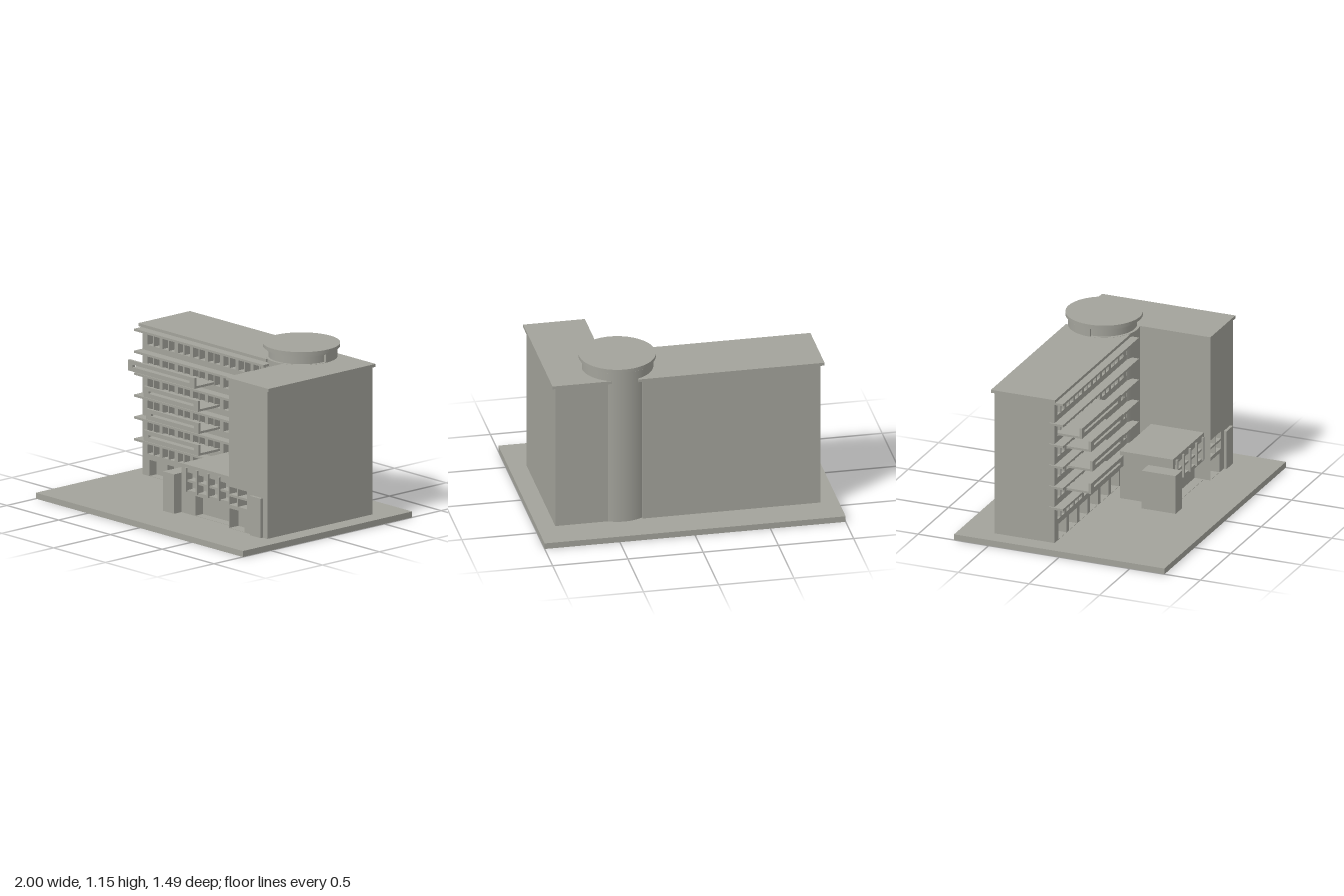
import * as THREE from 'three';

export function createModel() {
  const model = new THREE.Group();
  const concrete = new THREE.MeshStandardMaterial({ color: 0xa3a39b });
  concrete.name = 'warm grey concrete';

  const add = (name, geometry, parent = model) => {
    const mesh = new THREE.Mesh(geometry, concrete);
    mesh.name = name;
    parent.add(mesh);
    return mesh;
  };
  // Box given by its limits on each axis
  const box = (name, x0, x1, y0, y1, z0, z1, parent) => {
    const g = new THREE.BoxGeometry(x1 - x0, y1 - y0, z1 - z0);
    g.translate((x0 + x1) / 2, (y0 + y1) / 2, (z0 + z1) / 2);
    return add(name, g, parent);
  };
  const rect = (P, x0, x1, y0, y1) => new P([
    new THREE.Vector2(x0, y0), new THREE.Vector2(x1, y0),
    new THREE.Vector2(x1, y1), new THREE.Vector2(x0, y1),
  ]);
  // Upright panel with rectangular openings [x0, x1, y0, y1]
  const panel = (name, outline, openings, z0, z1, parent) => {
    const shape = rect(THREE.Shape, ...outline);
    openings.forEach((o) => shape.holes.push(rect(THREE.Path, ...o)));
    const g = new THREE.ExtrudeGeometry(shape, { depth: z1 - z0, bevelEnabled: false });
    g.translate(0, 0, z0);
    return add(name, g, parent);
  };
  const cylinder = (name, r, y0, y1, start = 0, length = Math.PI * 2) => {
    const g = new THREE.CylinderGeometry(r, r, y1 - y0, 64, 1, false, start, length);
    g.translate(0.425, (y0 + y1) / 2, -0.295);
    return add(name, g);
  };

  box('basePlate', -1, 1, 0, 0.04, -0.745, 0.745);

  // Long wing: solid core, pierced facade, roof
  const wing = new THREE.Group();
  wing.name = 'longWing';
  model.add(wing);
  box('wingCore', -0.88, 0.3, 0.04, 1.035, -0.51, -0.145, wing);
  const openings = [];
  for (let floor = 0; floor < 6; floor++) {
    const y = 0.188 + floor * 0.1465;
    for (let bay = 0; bay < 8; bay++) {
      const x = -0.833 + bay * 0.1465;
      openings.push([x, x + 0.052, y, y + 0.081], [x + 0.064, x + 0.116, y, y + 0.081]);
    }
  }
  for (let i = 0; i < 6; i++) {
    const x = -0.812 + i * 0.172;
    openings.push([x, x + 0.13, 0.042, 0.15]);
  }
  panel('wingFacade', [-0.88, 0.3, 0.04, 1.035], openings, -0.145, -0.085, wing);
  box('wingRoof', -0.905, 0.33, 1.035, 1.055, -0.525, -0.07, wing);

  // Sun ledges above each row of windows
  for (let i = 0; i < 6; i++) {
    const y = 0.277 + i * 0.1475;
    box('ledge', -0.89, 0.36, y, y + 0.015, -0.12, -0.02, wing);
  }

  // Balconies: floor slab and slotted front
  [[-0.68, -0.15, 0.337], [-0.655, -0.148, 0.485], [-0.68, -0.155, 0.632], [-0.83, -0.19, 0.78]]
    .forEach(([x0, x1, y]) => {
      const balcony = new THREE.Group();
      balcony.name = 'balcony';
      wing.add(balcony);
      box('balconyFloor', x0, x1, y, y + 0.015, -0.1, 0.07, balcony);
      panel('balconyFront', [x0, x1, y, y + 0.072],
        [[x0 + 0.045, x1 - 0.045, y + 0.029, y + 0.046]], 0.07, 0.088, balcony);
    });

  // Round stair tower: the rooftop lantern is set back on its front half
  cylinder('stairTower', 0.235, 0.04, 1.056);
  cylinder('lantern', 0.215, 1.055, 1.11);
  cylinder('lanternBackWall', 0.235, 1.055, 1.11, Math.PI / 2, Math.PI);
  box('lanternWallEnds', 0.19, 0.66, 1.055, 1.11, -0.299, -0.295);
  cylinder('lanternRing', 0.235, 1.11, 1.125);
  cylinder('towerRoof', 0.252, 1.125, 1.147);

  // Tall side block; window and entrance recesses continue from the annex
  const block = new THREE.Group();
  block.name = 'sideBlock';
  model.add(block);
  box('blockCore', 0.51, 0.88, 0.04, 1.035, -0.505, 0.34, block);
  panel('blockFront', [0.51, 0.88, 0.04, 1.035], [
    [0.512, 0.66, 0.042, 0.175],
    [0.512, 0.585, 0.2, 0.255], [0.595, 0.685, 0.2, 0.255],
    [0.512, 0.585, 0.27, 0.32], [0.595, 0.685, 0.27, 0.32],
  ], 0.34, 0.42, block);
  box('blockRoof', 0.49, 0.9, 1.035, 1.055, -0.515, 0.43, block);
  box('sideDoor', 0.732, 0.837, 0.04, 0.305, 0.41, 0.44, block);

  // Low entrance annex with window bands and fins
  const annex = new THREE.Group();
  annex.name = 'entranceAnnex';
  model.add(annex);
  box('annexCore', 0, 0.51, 0.04, 0.37, 0, 0.31, annex);
  panel('annexFront', [0, 0.51, 0.04, 0.37], [
    [0.135, 0.508, 0.042, 0.175],
    [0.03, 0.508, 0.2, 0.255], [0.03, 0.508, 0.27, 0.32],
  ], 0.31, 0.375, annex);
  for (let i = 0; i < 5; i++) {
    const x = 0.052 + i * 0.1065;
    box('windowFin', x - 0.008, x + 0.008, 0.19, 0.35, 0.33, 0.388, annex);
  }
  box('entrancePylon', -0.107, 0, 0.04, 0.305, 0.2, 0.44, annex);

  return model;
}
